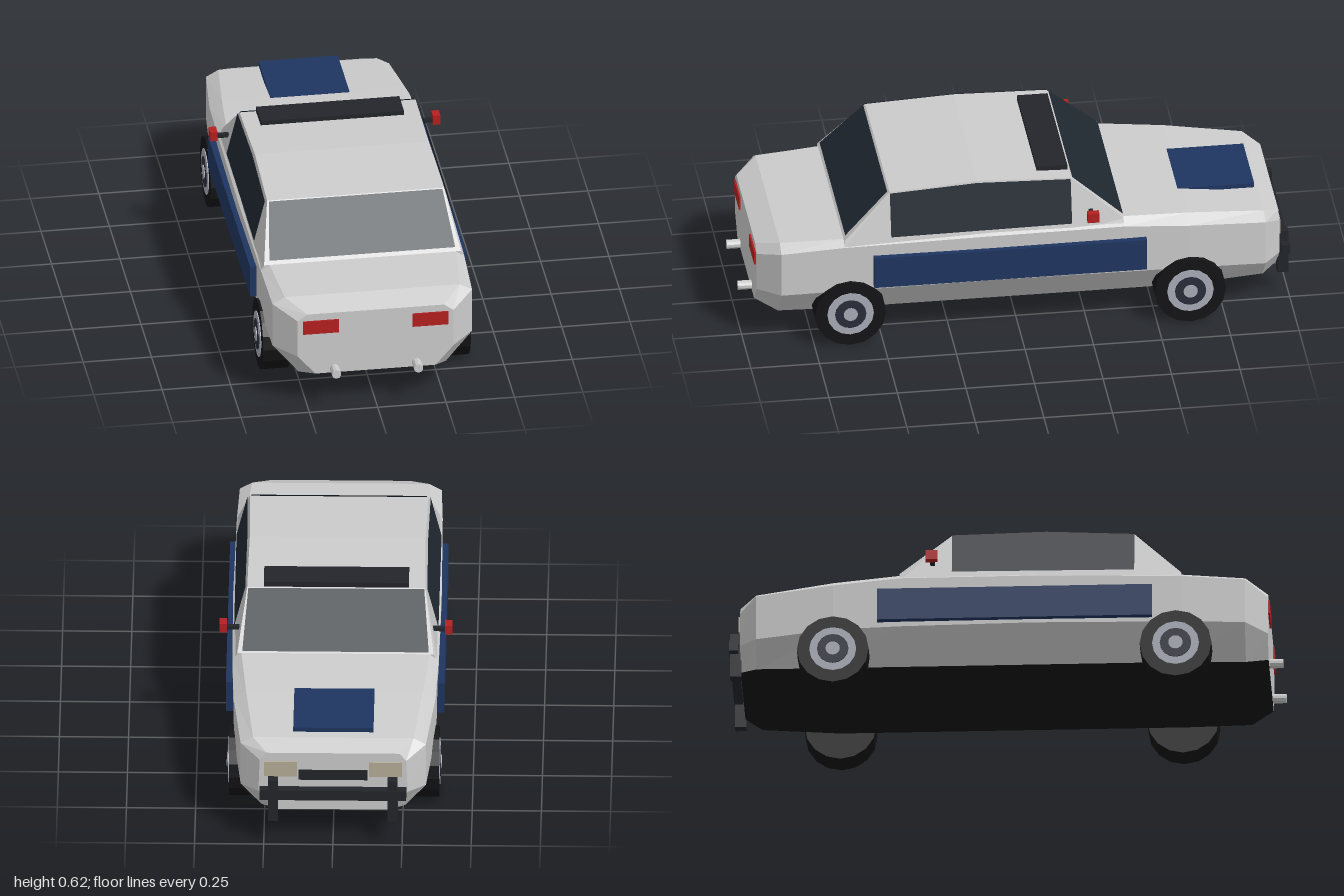
import * as THREE from 'three';

const mat = (color, extra = {}) => new THREE.MeshStandardMaterial({ color, flatShading: true, ...extra });
const paint = mat(0xcccccc), black = mat(0x141416), navy = mat(0x1f3560), red = mat(0xb52020);
const cream = mat(0xb8ad98), rim = mat(0xa9adb8), hubDark = mat(0x2a2c3a), trim = mat(0x24252a);
const glass = mat(0x1f2830, { side: THREE.DoubleSide });

function geometryFrom(positions) {
  const g = new THREE.BufferGeometry();
  g.setAttribute('position', new THREE.Float32BufferAttribute(positions, 3));
  g.computeVertexNormals();
  return g;
}

// Skins mirrored cross-sections [z, x, y, x, y, ...] listed from +z to -z.
// The floor strip is returned separately so that it can be painted black.
function loft(sections) {
  const rings = sections.map(([z, ...p]) => {
    const side = [];
    for (let i = 0; i < p.length; i += 2) side.push([p[i], p[i + 1], z]);
    return [...side, ...side.slice().reverse().map(([x, y]) => [-x, y, z])];
  });
  const skin = [], floor = [], n = rings[0].length;
  for (let s = 0; s < rings.length - 1; s++) {
    for (let i = 0; i < n; i++) {
      const j = (i + 1) % n, a = rings[s][i], b = rings[s][j], c = rings[s + 1][j], d = rings[s + 1][i];
      (i === n - 1 ? floor : skin).push(...a, ...d, ...c, ...a, ...c, ...b);
    }
  }
  const first = rings[0], last = rings[rings.length - 1];
  for (let i = 1; i < n - 1; i++) {
    skin.push(...first[0], ...first[i], ...first[i + 1]);
    skin.push(...last[0], ...last[i + 1], ...last[i]);
  }
  return { skin: geometryFrom(skin), floor: geometryFrom(floor) };
}

// Flat convex panel from its corners
function panel(points) {
  const v = [];
  for (let i = 1; i < points.length - 1; i++) v.push(...points[0], ...points[i], ...points[i + 1]);
  return geometryFrom(v);
}

export function createModel() {
  const car = new THREE.Group();
  car.name = 'car';
  const add = (name, geometry, material, x = 0, y = 0, z = 0, parent = car) => {
    const m = new THREE.Mesh(geometry, material);
    m.name = name;
    m.position.set(x, y, z);
    parent.add(m);
    return m;
  };
  // Box given by its minimum and maximum corners
  const box = (name, material, x0, x1, y0, y1, z0, z1) =>
    add(name, new THREE.BoxGeometry(Math.abs(x1 - x0), y1 - y0, z1 - z0), material,
      (x0 + x1) / 2, (y0 + y1) / 2, (z0 + z1) / 2);

  // Lower body: floor edge, sill, waist and deck edge at each station
  const body = loft([
    [0.95, 0.22, 0.13, 0.285, 0.205, 0.285, 0.35, 0.25, 0.375],
    [0.87, 0.27, 0.10, 0.365, 0.215, 0.365, 0.385, 0.32, 0.41],
    [0.64, 0.28, 0.10, 0.37, 0.22, 0.372, 0.40, 0.34, 0.42],
    [0.10, 0.28, 0.10, 0.373, 0.225, 0.377, 0.41, 0.35, 0.43],
    [-0.38, 0.28, 0.10, 0.37, 0.22, 0.373, 0.41, 0.34, 0.435],
    [-0.62, 0.28, 0.10, 0.363, 0.215, 0.365, 0.39, 0.32, 0.42],
    [-0.90, 0.26, 0.11, 0.335, 0.195, 0.335, 0.365, 0.29, 0.39],
    [-0.96, 0.20, 0.125, 0.27, 0.20, 0.265, 0.33, 0.24, 0.36],
  ]);
  add('body', body.skin, paint);
  add('underbody', body.floor, black);

  // Cabin
  const cabin = loft([
    [0.64, 0.37, 0.40, 0.36, 0.42],
    [0.47, 0.37, 0.40, 0.323, 0.592],
    [0.15, 0.37, 0.40, 0.318, 0.61],
    [-0.19, 0.37, 0.40, 0.322, 0.60],
    [-0.38, 0.37, 0.40, 0.355, 0.435],
  ]);
  add('cabin', cabin.skin, paint);

  // Windows, lifted slightly off the cabin
  add('rearWindow', panel([[-0.34, 0.434, 0.634], [0.34, 0.434, 0.634], [0.317, 0.592, 0.478], [-0.317, 0.592, 0.478]]), glass);
  add('windshield', panel([[0.337, 0.443, -0.38], [-0.337, 0.443, -0.38], [-0.318, 0.6, -0.197], [0.318, 0.6, -0.197]]), glass);
  for (const s of [1, -1]) {
    const side = s > 0 ? 'left' : 'right';
    const at = (y, z) => [s * (0.378 - 0.247 * (y - 0.4)), y, z];
    add(side + 'SideWindow', panel([at(0.43, 0.47), at(0.435, -0.19), at(0.598, -0.19), at(0.607, 0.15), at(0.59, 0.47)]), glass);

    // Side panel and mirror
    box(side + 'SidePanel', navy, s * 0.36, s * 0.395, 0.238, 0.36, -0.46, 0.535);
    box(side + 'MirrorArm', trim, s * 0.34, s * 0.395, 0.466, 0.48, -0.268, -0.252);
    box(side + 'Mirror', red, s * 0.394, s * 0.421, 0.462, 0.498, -0.283, -0.24);

    // Lights, exhaust and guard post
    box(side + 'TailLight', red, s * 0.134, s * 0.266, 0.296, 0.348, 0.93, 0.956);
    box(side + 'Headlight', cream, s * 0.13, s * 0.25, 0.265, 0.325, -0.966, -0.94);
    const pipe = add(side + 'Exhaust', new THREE.CylinderGeometry(0.017, 0.017, 0.09, 10), paint, s * 0.15, 0.147, 0.955);
    pipe.rotation.x = Math.PI / 2;
    box(side + 'GuardPost', trim, s * 0.198, s * 0.234, 0.095, 0.265, -0.998, -0.957);

    // Wheels: tyre with stepped rim discs on the outside
    for (const [end, z] of [['rear', 0.62], ['front', -0.62]]) {
      const wheel = new THREE.Group();
      wheel.name = end + side[0].toUpperCase() + side.slice(1) + 'Wheel';
      wheel.position.set(s * 0.33, 0.13, z);
      wheel.rotation.z = -s * Math.PI / 2;
      car.add(wheel);
      const disc = (name, r, h, m, y = 0) => add(name, new THREE.CylinderGeometry(r, r, h, 16), m, 0, y, 0, wheel);
      disc('tyre', 0.13, 0.1, black);
      disc('rim', 0.085, 0.02, rim, 0.043);
      disc('hub', 0.057, 0.02, hubDark, 0.046);
      disc('hubCap', 0.026, 0.02, rim, 0.049);
    }
  }

  // Front guard, grille, hood panel and roof bar
  box('guardBar', trim, -0.265, 0.265, 0.185, 0.225, -1, -0.968);
  box('grille', trim, -0.125, 0.125, 0.25, 0.29, -0.964, -0.94);
  box('hoodPanel', navy, -0.145, 0.145, 0.405, 0.422, -0.885, -0.605);
  box('roofBar', trim, -0.262, 0.262, 0.598, 0.62, -0.187, -0.075);
  return car;
}
